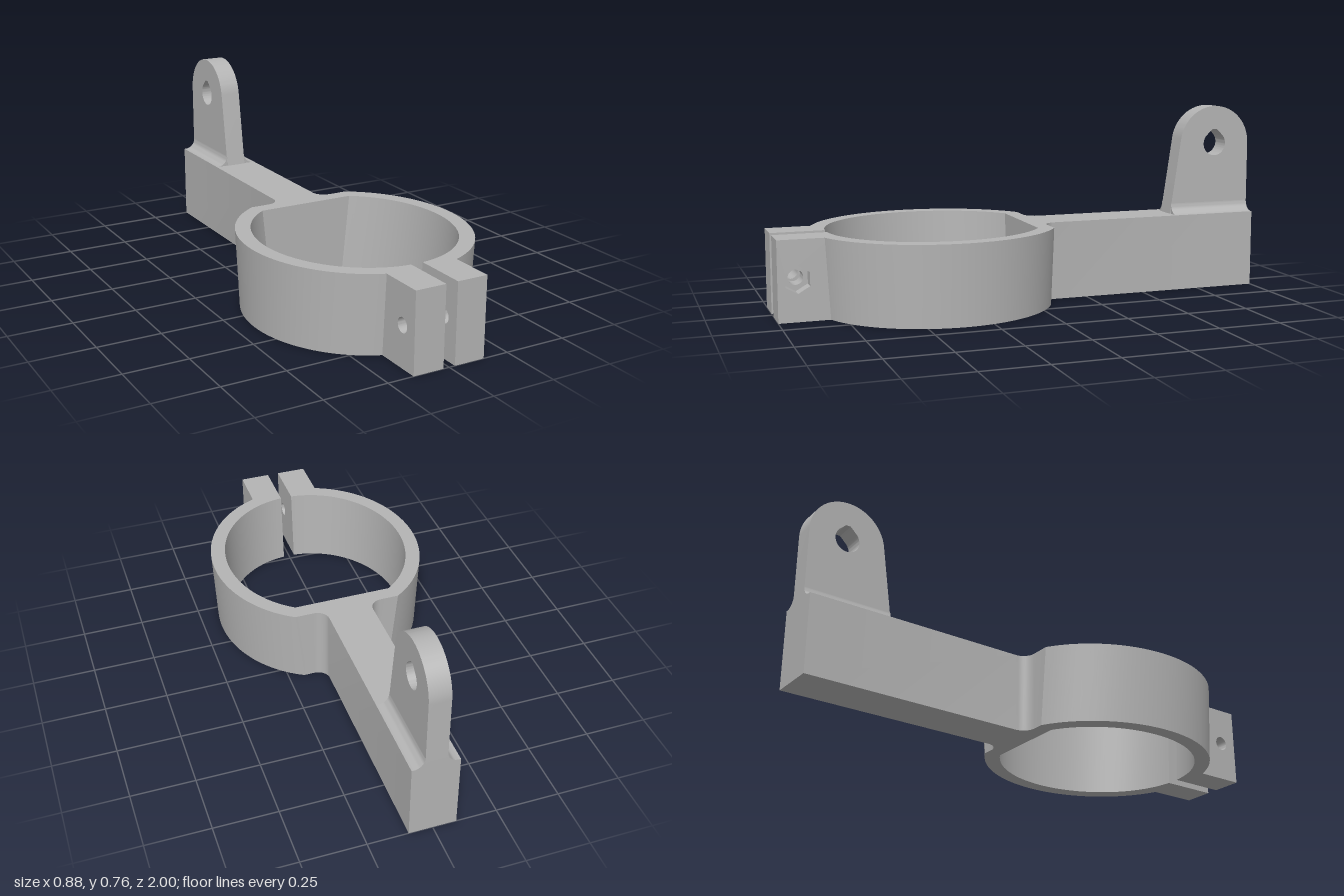
import * as THREE from 'three';
import { toCreasedNormals } from 'three/addons/utils/BufferGeometryUtils.js';

const H = 0.312;      // height of ring and arm
const GAP = 0.024;    // half width of the clamp slot
const CZ = 0.363;     // centre of the oval ring

// Points on an oval from angle of x = x0 (front) to z = z0 (back), on the +x side
function ovalArc(a, b, x0, z0, n) {
  const start = Math.asin(x0 / a), end = Math.PI - Math.acos((CZ - z0) / b);
  const pts = [];
  for (let i = 0; i <= n; i++) {
    const t = start + (end - start) * i / n;
    pts.push([a * Math.sin(t), CZ + b * Math.cos(t)]);
  }
  return pts;
}

// Closed outline of slotted ring and arm, counter-clockwise from above
function outline(ao, bo, ai, bi) {
  const outer = ovalArc(ao, bo, GAP, -0.06, 40);
  for (let i = 0; i <= 8; i++) {
    const t = i / 8 * Math.PI / 2;
    outer.push([0.142 - 0.05 * Math.sin(t), -0.11 + 0.05 * Math.cos(t)]);
  }
  outer.push([0.092, -1]);
  const inner = ovalArc(ai, bi, GAP, 0, 40);
  const mirror = (pts) => pts.map(([x, z]) => [-x, z]);
  return [...outer, ...mirror(outer).reverse(), ...mirror(inner), ...inner.slice().reverse()];
}

// Straight-sided solid between a bottom and a top outline
function loft(bottom, top, height) {
  const pos = [];
  const B = (i) => [bottom[i][0], 0, bottom[i][1]];
  const T = (i) => [top[i][0], height, top[i][1]];
  const n = top.length;
  for (let i = 0; i < n; i++) {
    const j = (i + 1) % n;
    pos.push(...B(i), ...B(j), ...T(j), ...B(i), ...T(j), ...T(i));
  }
  const flat = top.map(([x, z]) => new THREE.Vector2(x, -z));
  for (const [a, b, c] of THREE.ShapeUtils.triangulateShape(flat, [])) {
    pos.push(...T(a), ...T(b), ...T(c), ...B(c), ...B(b), ...B(a));
  }
  const g = new THREE.BufferGeometry();
  g.setAttribute('position', new THREE.Float32BufferAttribute(pos, 3));
  return toCreasedNormals(g, 0.5);
}

// Extrude a shape drawn in (-z, y) along x from x0 to x1
function extrudeX(shape, x0, x1) {
  const g = new THREE.ExtrudeGeometry(shape, { depth: x1 - x0, bevelEnabled: false, curveSegments: 24 });
  g.rotateY(Math.PI / 2);
  g.translate(x0, 0, 0);
  return toCreasedNormals(g, 0.5);
}

// Clamp ear side profile with a polygonal hole
function earShape(radius, sides) {
  const s = new THREE.Shape();
  s.moveTo(-1, 0).lineTo(-0.8, 0).lineTo(-0.8, H).lineTo(-1, H).closePath();
  const pts = [];
  for (let i = 0; i < sides; i++) {
    const t = Math.PI / 2 + i / sides * Math.PI * 2;
    pts.push(new THREE.Vector2(-0.925 + radius * Math.cos(t), 0.16 + radius * Math.sin(t)));
  }
  s.holes.push(new THREE.Path(pts));
  return s;
}

export function createModel() {
  const model = new THREE.Group();
  const grey = new THREE.MeshStandardMaterial({ color: 0xb4b4b4 });
  grey.name = 'grey plastic';
  const add = (name, geometry) => {
    const m = new THREE.Mesh(geometry, grey);
    m.name = name;
    model.add(m);
    return m;
  };

  // Tapered oval ring with the arm
  add('ringAndArm', loft(outline(0.427, 0.47, 0.367, 0.409), outline(0.44, 0.487, 0.38, 0.427), H));

  // Clamp ears: left one has a hexagonal nut pocket
  const EAR = 0.147, POCKET = 0.095;
  add('leftEarInner', extrudeX(earShape(0.029, 20), GAP, POCKET));
  add('leftEarNutPocket', extrudeX(earShape(0.053, 6), POCKET, EAR));
  add('rightEar', extrudeX(earShape(0.029, 20), -EAR, -GAP));

  // Upright lug with rounded top and teardrop hole
  const lug = new THREE.Shape();
  lug.moveTo(0.642, H - 0.01).lineTo(1, H - 0.01).lineTo(1, 0.6);
  lug.absarc(0.844, 0.6, 0.156, 0, Math.PI - 0.155, false);
  lug.closePath();
  const hole = new THREE.Path();
  hole.absarc(0.844, 0.6, 0.05, Math.PI * 0.75, Math.PI * 2.25, false);
  hole.lineTo(0.854, 0.66).lineTo(0.834, 0.66).closePath();
  lug.holes.push(hole);
  add('lug', extrudeX(lug, -0.042, 0.042));

  // Concave fillets at the foot of the lug
  const R = 0.043;
  for (const side of [1, -1]) {
    const f = new THREE.Shape();
    f.moveTo(side * 0.04, H - 0.002).lineTo(side * (0.042 + R), H - 0.002);
    for (let i = 0; i <= 10; i++) {
      const t = i / 10 * Math.PI / 2;
      f.lineTo(side * (0.042 + R - R * Math.sin(t)), H + R - R * Math.cos(t));
    }
    f.lineTo(side * 0.04, H + R).closePath();
    const g = new THREE.ExtrudeGeometry(f, { depth: 0.352, bevelEnabled: false });
    g.translate(0, 0, -1);
    add(side > 0 ? 'leftFillet' : 'rightFillet', toCreasedNormals(g, 0.5));
  }
  return model;
}
